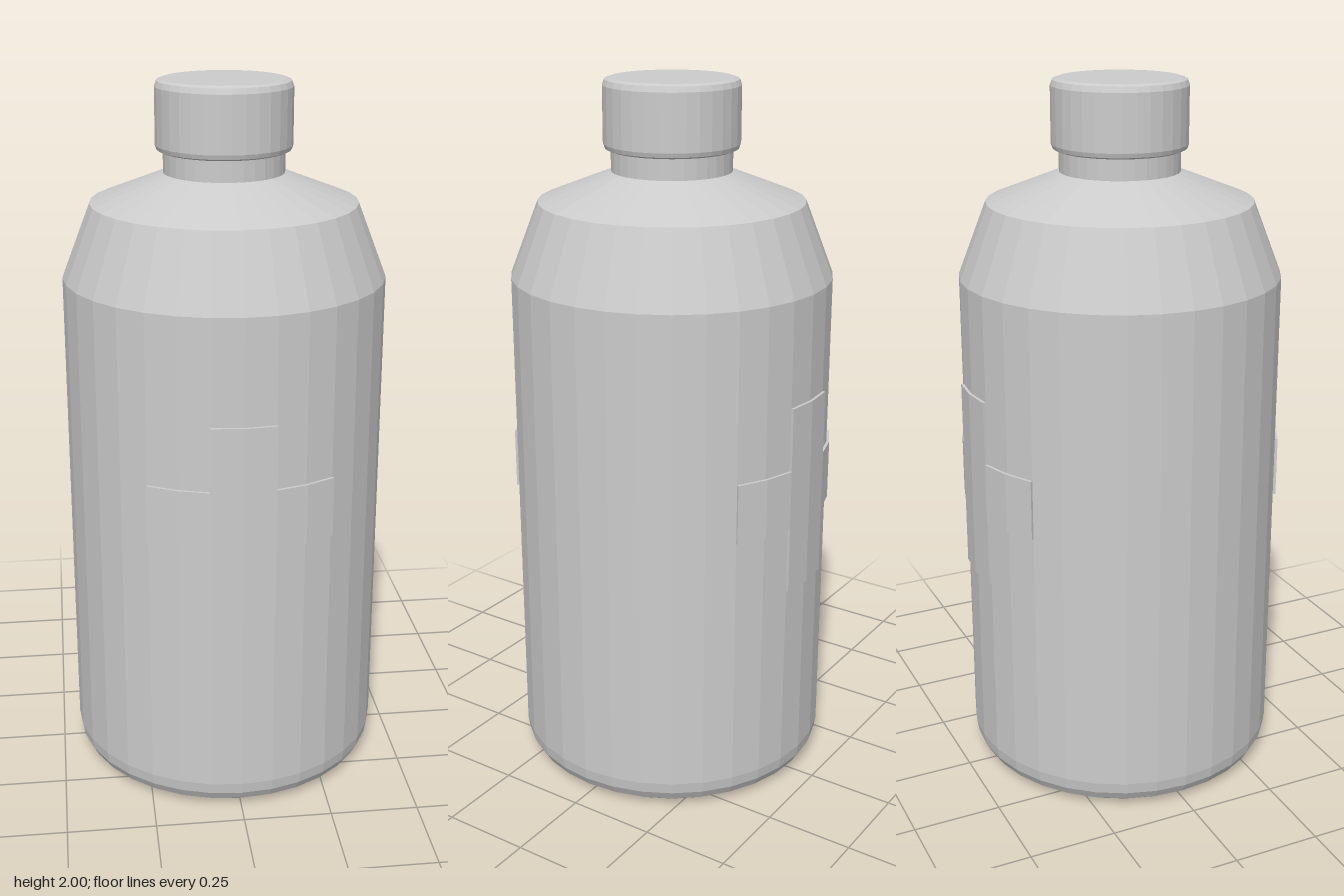
import * as THREE from 'three';

const SIDES = 32;
const STEP = (Math.PI * 2) / SIDES; // angle of one body facet
const RADIUS = 0.45;

const material = new THREE.MeshStandardMaterial({ color: 0xcccccc, flatShading: true });

function turned(name, profile) {
  const points = profile.map(([r, y]) => new THREE.Vector2(r, y));
  const mesh = new THREE.Mesh(new THREE.LatheGeometry(points, SIDES), material);
  mesh.name = name;
  return mesh;
}

// Thin plate wrapped onto the body, spanning whole facets from a0 to a1
function wrappedPlate(name, a0, a1, y0, y1) {
  const thickness = 0.008;
  const geometry = new THREE.BoxGeometry(a1 - a0, y1 - y0, thickness, a1 - a0, 1, 1);
  geometry.translate((a0 + a1) / 2, (y0 + y1) / 2, 0);
  const p = geometry.attributes.position;
  for (let i = 0; i < p.count; i++) {
    const angle = p.getX(i) * STEP;
    const r = RADIUS + thickness / 2 + p.getZ(i);
    p.setXYZ(i, Math.sin(angle) * r, p.getY(i), Math.cos(angle) * r);
  }
  geometry.computeVertexNormals();
  const mesh = new THREE.Mesh(geometry, material);
  mesh.name = name;
  return mesh;
}

// Raised plus-shaped badge
function crossBadge(name) {
  const badge = new THREE.Group();
  badge.name = name;
  badge.add(
    wrappedPlate('crossUpright', -1, 1, 0.63, 1.17),
    wrappedPlate('crossRightArm', -3, -1, 0.82, 0.99),
    wrappedPlate('crossLeftArm', 1, 3, 0.82, 0.99)
  );
  return badge;
}

export function createModel() {
  const bottle = new THREE.Group();
  bottle.name = 'bottle';

  // Body with rounded base, sloped shoulders and neck
  bottle.add(turned('body', [
    [0, 0], [0.375, 0], [0.405, 0.007], [0.43, 0.025], [0.445, 0.052], [RADIUS, 0.085],
    [RADIUS, 1.465], [0.37, 1.67], [0.167, 1.75],
  ]));
  bottle.add(turned('neck', [[0.167, 1.75], [0.167, 1.815]]));

  // Cap with softened rims
  bottle.add(turned('cap', [
    [0, 1.808], [0.172, 1.808], [0.184, 1.813], [0.188, 1.825],
    [0.188, 1.98], [0.182, 1.995], [0.168, 2], [0, 2],
  ]));

  // Badges on both faces
  const frontCross = crossBadge('frontCross');
  const backCross = crossBadge('backCross');
  backCross.rotation.y = Math.PI;
  bottle.add(frontCross, backCross);

  return bottle;
}
